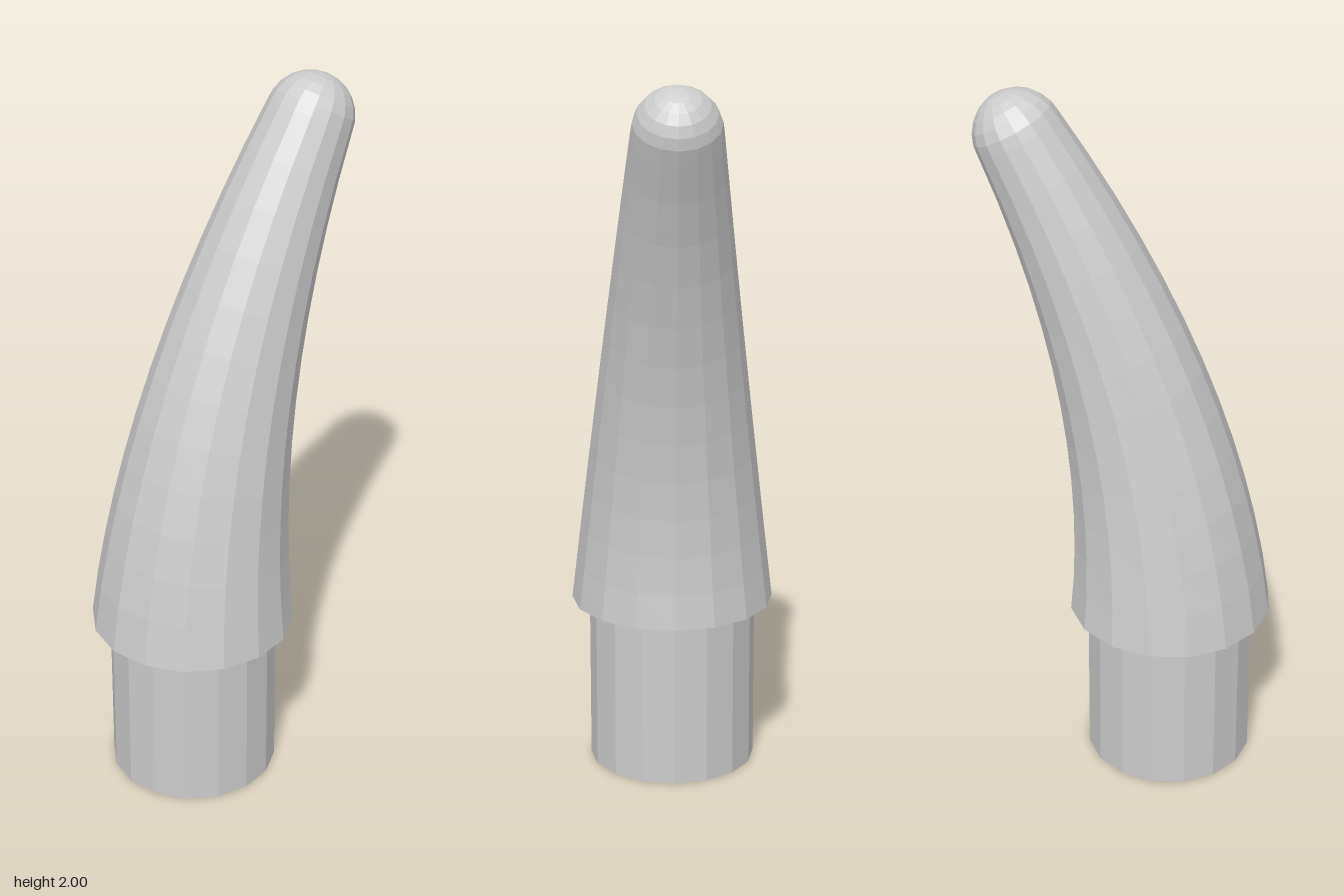
import * as THREE from 'three';

const SIDES = 16;
const CENTER_Z = 0.127;
const BASE_Y = 0.48, TIP_Y = 1.88;
const BASE_R = 0.285, TIP_R = 0.12;

// Joins rings of {y, z, r, tilt} into a skin; a ring of radius 0 closes an end.
function skin(rings) {
  const positions = [];
  const point = ({ y, z, r, tilt }, j) => {
    const a = (j / SIDES) * Math.PI * 2;
    const forward = r * Math.cos(a);
    return [r * Math.sin(a), y + forward * Math.sin(tilt), z + forward * Math.cos(tilt)];
  };
  for (let i = 0; i < rings.length - 1; i++) {
    const low = rings[i], high = rings[i + 1];
    for (let j = 0; j < SIDES; j++) {
      const a = point(low, j), b = point(low, j + 1);
      const c = point(high, j + 1), d = point(high, j);
      if (low.r > 0) positions.push(...a, ...b, ...d);
      if (high.r > 0) positions.push(...b, ...c, ...d);
    }
  }
  const geometry = new THREE.BufferGeometry();
  geometry.setAttribute('position', new THREE.Float32BufferAttribute(positions, 3));
  geometry.computeVertexNormals();
  return geometry;
}

// Tapered horn sweeping backwards, with a flat underside and a domed tip
function hornGeometry() {
  const rings = [{ y: BASE_Y, z: CENTER_Z, r: 0, tilt: 0 }];
  const steps = 12;
  for (let i = 0; i <= steps; i++) {
    const t = i / steps;
    const h = t * (TIP_Y - BASE_Y);
    rings.push({
      y: BASE_Y + h,
      z: CENTER_Z - 0.03 * h - 0.19 * h * h,
      r: THREE.MathUtils.lerp(BASE_R, TIP_R, t),
      tilt: i === 0 ? 0 : Math.atan(0.03 + 0.38 * h),
    });
  }
  // Hemisphere continuing along the end of the sweep
  const end = rings[rings.length - 1];
  const domeSteps = 6;
  for (let k = 1; k <= domeSteps; k++) {
    const lat = (k / domeSteps) * Math.PI / 2;
    const rise = TIP_R * Math.sin(lat);
    rings.push({
      y: end.y + rise * Math.cos(end.tilt),
      z: end.z - rise * Math.sin(end.tilt),
      r: k === domeSteps ? 0 : TIP_R * Math.cos(lat),
      tilt: end.tilt,
    });
  }
  return skin(rings);
}

export function createModel() {
  const group = new THREE.Group();
  group.name = 'curvedHornOnPeg';
  const material = new THREE.MeshStandardMaterial({ color: 0xcccccc, flatShading: true });

  // Straight mounting peg
  const peg = new THREE.Mesh(new THREE.CylinderGeometry(0.235, 0.235, BASE_Y, SIDES), material);
  peg.name = 'peg';
  peg.position.set(0, BASE_Y / 2, CENTER_Z);

  const horn = new THREE.Mesh(hornGeometry(), material);
  horn.name = 'horn';

  group.add(peg, horn);
  return group;
}
